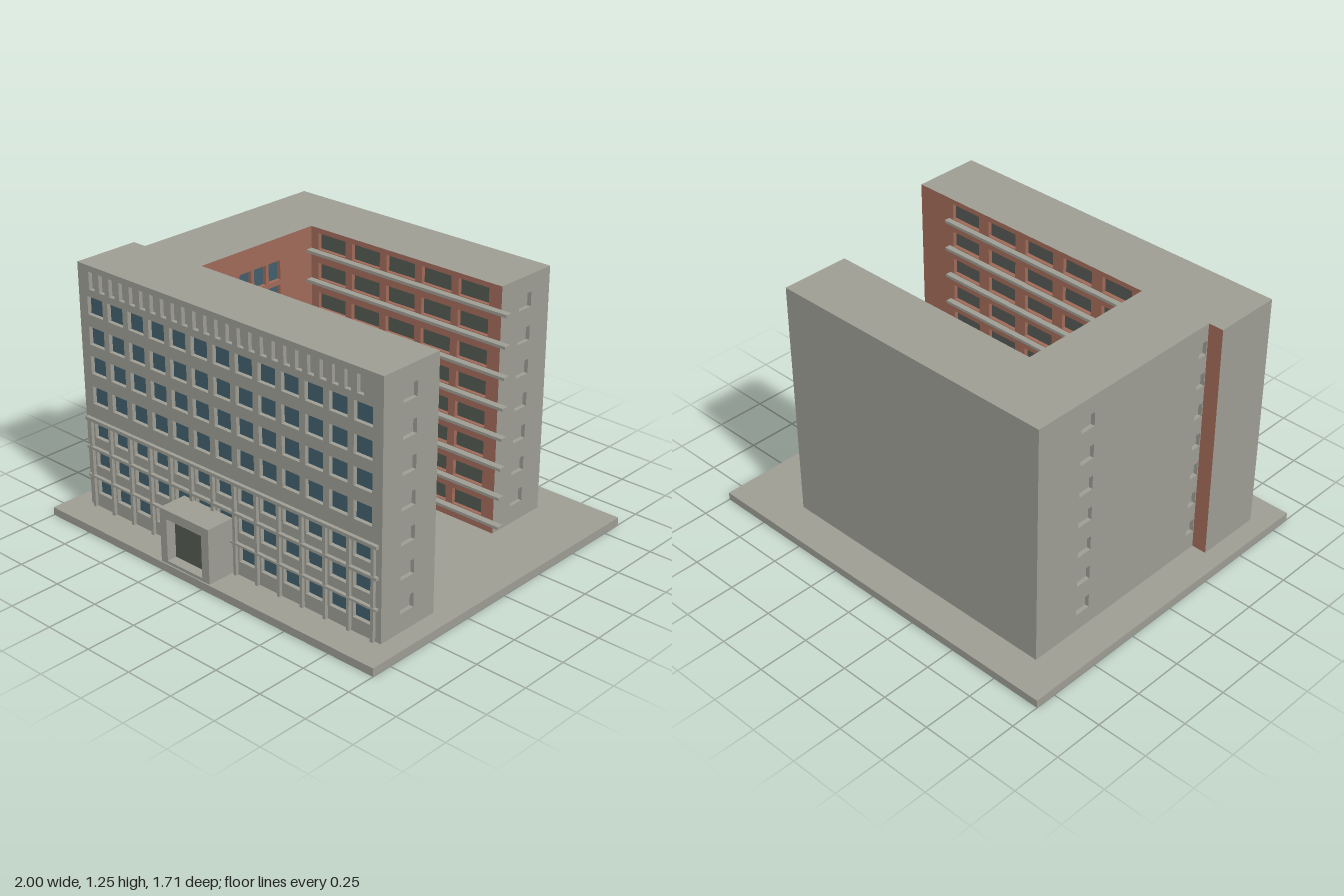
import * as THREE from 'three';

const paint = (name, color) => {
  const m = new THREE.MeshStandardMaterial({ color });
  m.name = name;
  return m;
};

const BASE = 0.04, TOP = 1.25;

// Rectangle outline, counter-clockwise, from centre and size
const rect = (cx, cy, w, h) => [
  [cx - w / 2, cy - h / 2], [cx + w / 2, cy - h / 2],
  [cx + w / 2, cy + h / 2], [cx - w / 2, cy + h / 2],
].map(([x, y]) => new THREE.Vector2(x, y));

// Round-headed outline for the courtyard door
const arch = (cx, y0, spring, r) => {
  const pts = [new THREE.Vector2(cx - r, y0), new THREE.Vector2(cx + r, y0)];
  for (let i = 0; i <= 16; i++) {
    const a = (Math.PI * i) / 16;
    pts.push(new THREE.Vector2(cx + r * Math.cos(a), spring + r * Math.sin(a)));
  }
  return pts;
};

// Side walls of the recesses, facing into each opening
function jambGeometry(holes, depth) {
  const v = [];
  for (const { pts } of holes) {
    pts.forEach((p, i) => {
      const q = pts[(i + 1) % pts.length];
      v.push(p.x, p.y, 0, q.x, q.y, 0, q.x, q.y, -depth);
      v.push(p.x, p.y, 0, q.x, q.y, -depth, p.x, p.y, -depth);
    });
  }
  const g = new THREE.BufferGeometry();
  g.setAttribute('position', new THREE.Float32BufferAttribute(v, 3));
  g.computeVertexNormals();
  return g;
}

// Wall running left to right as seen from outside, with recessed openings
function wall(name, from, to, material, holes = [], depth = 0.02, top = TOP) {
  const dx = to[0] - from[0], dz = to[1] - from[1], w = Math.hypot(dx, dz);
  const group = new THREE.Group();
  group.name = name;
  group.position.set(from[0], 0, from[1]);
  group.rotation.y = Math.atan2(-dz, dx);

  const face = new THREE.Shape(rect(w / 2, (BASE + top) / 2, w, top - BASE));
  face.holes = holes.map((h) => new THREE.Path(h.pts));
  const add = (part, geometry, mat, z = 0) => {
    const mesh = new THREE.Mesh(geometry, mat);
    mesh.name = part;
    mesh.position.z = z;
    group.add(mesh);
  };
  add(name + 'Face', new THREE.ShapeGeometry(face), material);
  if (holes.length) add(name + 'Reveals', jambGeometry(holes, depth), material);
  for (const pane of new Set(holes.map((h) => h.pane))) {
    const shapes = holes.filter((h) => h.pane === pane).map((h) => new THREE.Shape(h.pts));
    add(name + 'Panes', new THREE.ShapeGeometry(shapes), pane, -depth);
  }
  return group;
}

export function createModel() {
  const concrete = paint('concrete', 0x9c9c93);
  const brick = paint('brick', 0xa06a58);
  const glass = paint('blueGlass', 0x425e6b);
  const dark = paint('darkOpening', 0x535852);

  const model = new THREE.Group();
  model.name = 'building';

  const box = (name, x0, x1, y0, y1, z0, z1, mat = concrete) => {
    const mesh = new THREE.Mesh(new THREE.BoxGeometry(x1 - x0, y1 - y0, z1 - z0), mat);
    mesh.name = name;
    mesh.position.set((x0 + x1) / 2, (y0 + y1) / 2, (z0 + z1) / 2);
    model.add(mesh);
  };

  box('base', -1, 1, 0, BASE, -0.855, 0.855);

  // Plan corners
  const F = 0.7, FI = 0.365, BI = -0.34, B = -0.68; // z of front, inner and back faces
  const W = 0.905, L = -0.83, C = -0.46, R = 0.665; // x of wing ends and courtyard

  // Front facade: window grid and a row of small niches under the roof
  const front = [];
  for (const y of [1.057, 0.91, 0.766, 0.615, 0.444, 0.297, 0.152])
    for (let i = 0; i < 13; i++)
      front.push({ pts: rect(W - 0.8 + (i * 1.6) / 12, y, 0.1, 0.088), pane: glass });
  for (let i = 0; i < 25; i++)
    front.push({ pts: rect(W - 0.815 + i * 0.0666, 1.178, 0.037, 0.085), pane: concrete });
  model.add(wall('frontFacade', [-W, F], [W, F], concrete, front));

  // Small niches stacked on the end walls
  const niches = (s, w = 0.085) => Array.from({ length: 7 }, (_, i) => (
    { pts: rect(s, 0.1645 + i * 0.161, w, 0.07), pane: concrete }));
  model.add(wall('frontWingEnd', [W, F], [W, FI], concrete, niches(0.16)));
  model.add(wall('backWingEnd', [R, BI], [R, B], concrete, niches(0.168)));
  model.add(wall('outerSideWall', [L, B], [L, FI], concrete,
    [...niches(0.29, 0.08), ...niches(1.015, 0.05)]));
  model.add(wall('frontWingOuterEnd', [-W, FI], [-W, F], concrete));
  model.add(wall('backWall', [R, B], [L, B], concrete));
  model.add(wall('brickReturn', [L, FI], [-W, FI], brick));

  // Courtyard wings: rows of dark windows, each above a long ledge
  const ledgeY = Array.from({ length: 8 }, (_, i) => 0.1 + i * 0.1479);
  const courtWindows = (centres) => ledgeY.flatMap((y) =>
    centres.map((s) => ({ pts: rect(s, y + 0.05, 0.17, 0.08), pane: dark })));
  const five = (start, step) => Array.from({ length: 5 }, (_, i) => start + i * step);
  model.add(wall('frontWingCourtWall', [W, FI], [C, FI], brick,
    courtWindows(five(W - 0.61, 0.233))));
  model.add(wall('backWingCourtWall', [C, BI], [R, BI], brick,
    courtWindows(five(0.13, 0.21))));
  for (const y of ledgeY) {
    box('courtLedge', C, 0.72, y - 0.007, y + 0.007, FI - 0.03, FI);
    box('courtLedge', C, 0.72, y - 0.007, y + 0.007, BI, BI + 0.035);
  }

  // Courtyard end wall with stair windows and an arched door
  const court = [{ pts: arch(FI, 0.055, 0.161, 0.095), pane: dark }];
  for (let i = 0; i < 7; i++)
    for (const z of [0.095, 0.003, -0.091])
      court.push({ pts: rect(FI - z, 1.091 - i * 0.1203, 0.076, 0.096), pane: glass });
  model.add(wall('courtEndWall', [C, FI], [C, BI], brick, court));

  // Flat roof over the three wings; shape y is -z
  const roofPlan = [[-W, F], [W, F], [W, FI], [C, FI], [C, BI], [R, BI], [R, B], [L, B], [L, FI], [-W, FI]];
  const roof = new THREE.Mesh(new THREE.ShapeGeometry(
    new THREE.Shape(roofPlan.map(([x, z]) => new THREE.Vector2(x, -z)))), concrete);
  roof.name = 'roof';
  roof.rotation.x = -Math.PI / 2;
  roof.position.y = TOP;
  model.add(roof);

  // Pilasters and string courses over the lower three floors
  for (let i = 0; i < 14; i++) {
    const x = -0.867 + (i * 1.6) / 12;
    box('pilaster', x - 0.008, x + 0.008, BASE, 0.49, F, F + 0.016);
  }
  for (const [y, h] of [[0.492, 0.016], [0.347, 0.014], [0.2, 0.01]])
    box('stringCourse', -0.893, 0.89, y - h / 2, y + h / 2, F, F + 0.018);

  // Entrance porch with a deep dark doorway
  const px0 = -0.26, px1 = 0.045, pz = 0.848, py = 0.31;
  model.add(wall('porchFront', [px0, pz], [px1, pz], concrete,
    [{ pts: rect(0.15, 0.16, 0.22, 0.21), pane: dark }], 0.05, py));
  model.add(wall('porchSide', [px1, pz], [px1, F], concrete, [], 0, py));
  model.add(wall('porchSide', [px0, F], [px0, pz], concrete, [], 0, py));
  box('porchRoof', px0, px1, py - 0.004, py, F, pz);

  return model;
}
